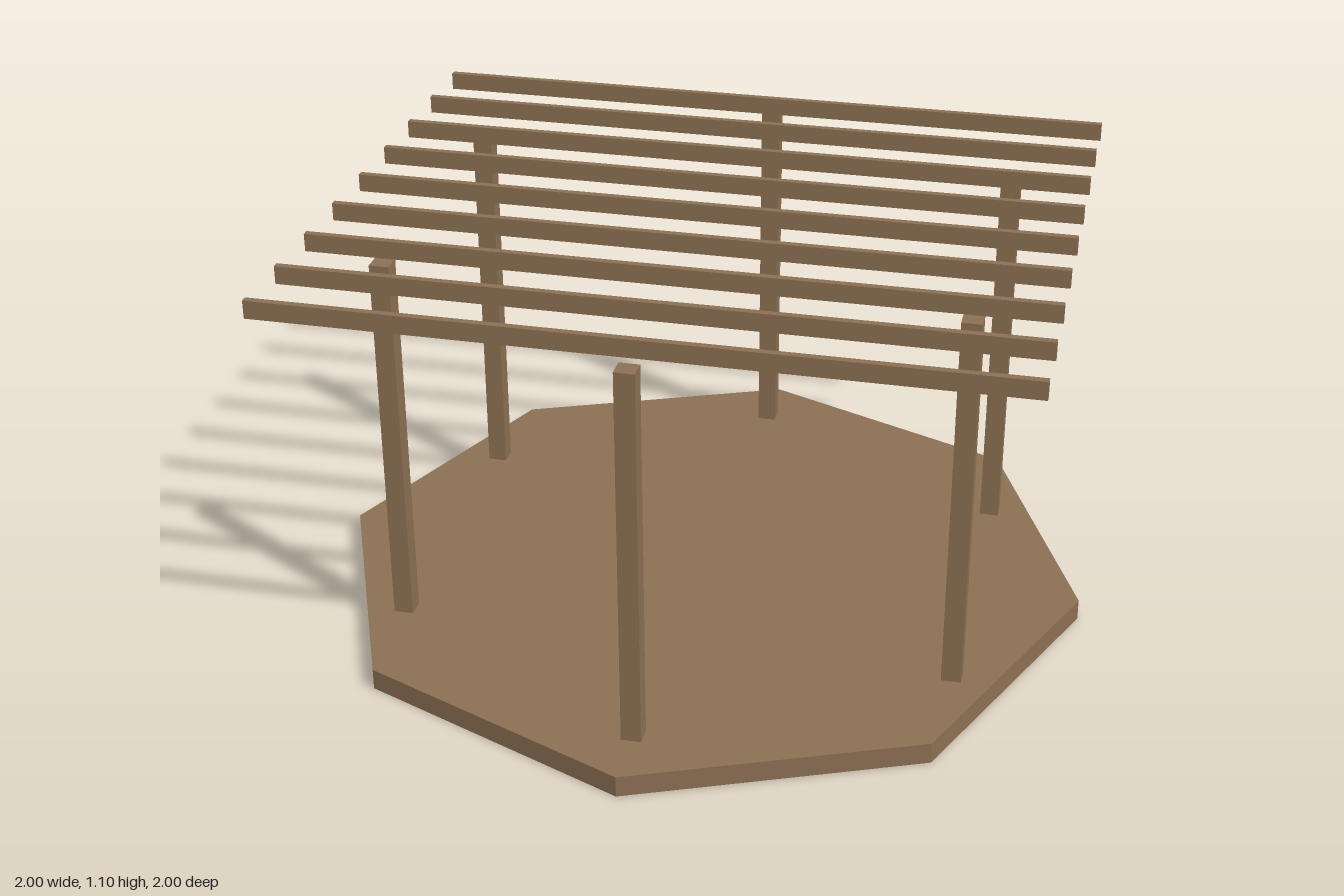
import * as THREE from 'three';

export function createModel() {
  const model = new THREE.Group();
  model.name = 'pergola';

  const wood = new THREE.MeshStandardMaterial({ color: 0x8b6f52, flatShading: true });
  wood.name = 'wood';

  const add = (name, geometry, x, y, z) => {
    const mesh = new THREE.Mesh(geometry, wood);
    mesh.name = name;
    mesh.position.set(x, y, z);
    model.add(mesh);
  };

  // Octagonal deck with corners on the x and z axes
  const deckHeight = 0.056;
  add('deck', new THREE.CylinderGeometry(1, 1, deckHeight, 8), 0, deckHeight / 2, 0);

  // Six square posts in a ring
  const postTop = 1.05;
  const postHeight = postTop - deckHeight;
  const postGeometry = new THREE.BoxGeometry(0.05, postHeight, 0.05);
  const ringRadius = 0.829;
  for (let i = 0; i < 6; i++) {
    const a = (i * Math.PI) / 3;
    add(`post${i + 1}`, postGeometry,
      Math.sin(a) * ringRadius, deckHeight + postHeight / 2, Math.cos(a) * ringRadius);
  }

  // Nine parallel rafters resting at the post tops
  const rafterHeight = 0.046;
  const rafterGeometry = new THREE.BoxGeometry(1.846, rafterHeight, 0.018);
  for (let i = -4; i <= 4; i++) {
    add(`rafter${i + 5}`, rafterGeometry, 0, postTop + rafterHeight / 2, i * 0.1925);
  }

  return model;
}
